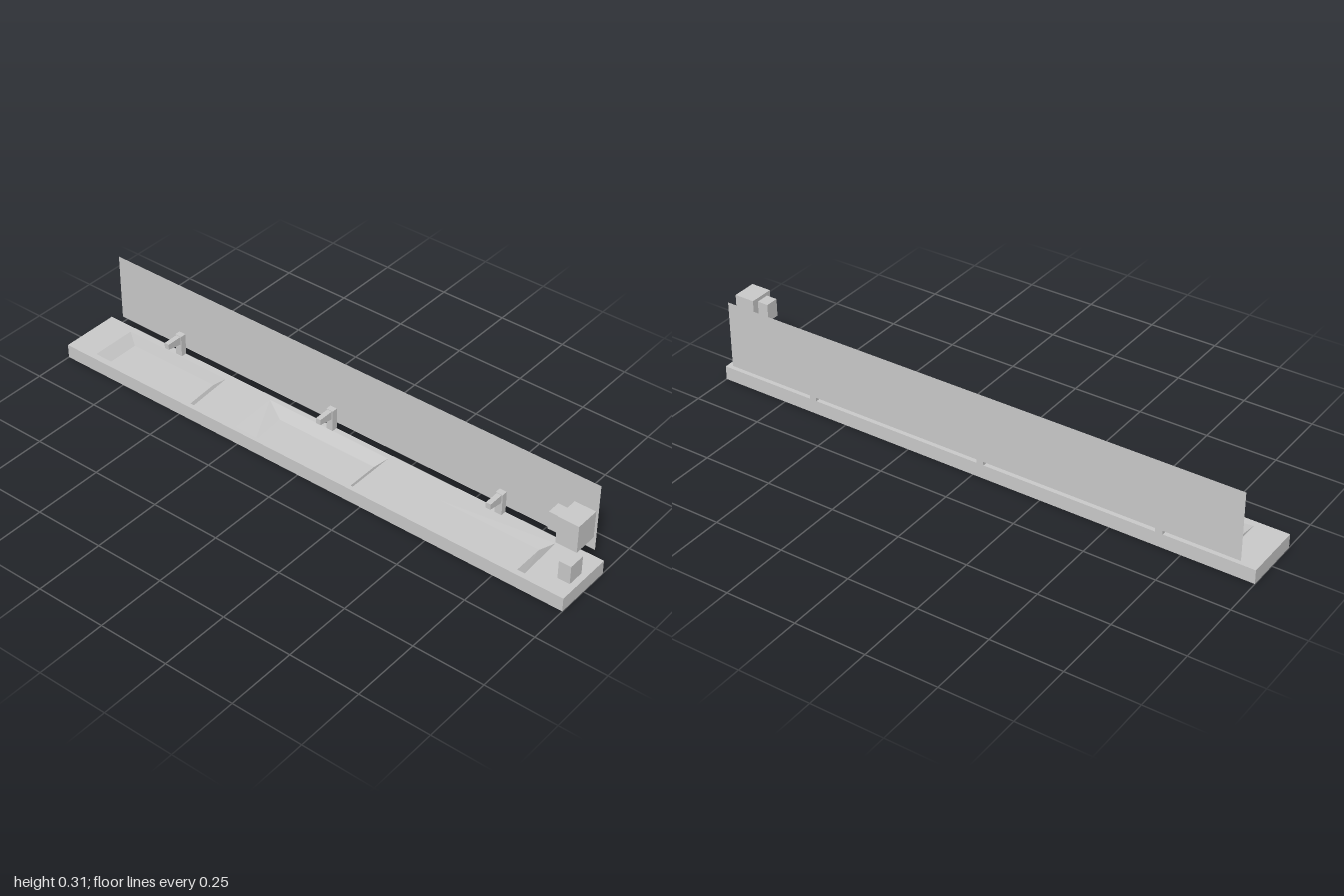
import * as THREE from 'three';

const material = new THREE.MeshStandardMaterial({ color: 0xcccccc, flatShading: true, side: THREE.DoubleSide });

function addMesh(parent, name, geometry, x = 0, y = 0, z = 0) {
  const mesh = new THREE.Mesh(geometry, material);
  mesh.name = name;
  mesh.position.set(x, y, z);
  parent.add(mesh);
  return mesh;
}

// Box given by its limits on each axis
function addBox(parent, name, [x0, x1], [y0, y1], [z0, z1]) {
  return addMesh(parent, name, new THREE.BoxGeometry(x1 - x0, y1 - y0, z1 - z0),
    (x0 + x1) / 2, (y0 + y1) / 2, (z0 + z1) / 2);
}

// Geometry from four-cornered faces
function quadGeometry(quads) {
  const points = quads.flatMap(([a, b, c, d]) => [a, b, c, a, c, d]).flat();
  const geometry = new THREE.BufferGeometry();
  geometry.setAttribute('position', new THREE.Float32BufferAttribute(points, 3));
  geometry.computeVertexNormals();
  return geometry;
}

// Corner loops run counter-clockwise seen from above, starting at the -x, +z corner
const raise = (loop, y) => loop.map(([x, z]) => [x, y, z]);
const loft = (a, b) => a.map((p, i) => [p, a[(i + 1) % 4], b[(i + 1) % 4], b[i]]);

const TOP = 0.05, FLOOR = 0.012;
const slab = [[-0.11, 1], [0.104, 1], [0.104, -1], [-0.11, -1]];
const basins = [
  { rim: [[-0.093, -0.449], [0.08, -0.462], [0.08, -0.89], [-0.087, -0.89]],
    floor: [[-0.077, -0.497], [0.066, -0.507], [0.066, -0.86], [-0.077, -0.86]] },
  { rim: [[-0.094, 0.208], [0.085, 0.208], [0.085, -0.277], [-0.094, -0.269]],
    floor: [[-0.077, 0.171], [0.061, 0.171], [0.061, -0.216], [-0.077, -0.205]] },
  { rim: [[-0.09, 0.85], [0.079, 0.844], [0.077, 0.38], [-0.09, 0.38]],
    floor: [[-0.071, 0.8], [0.061, 0.8], [0.061, 0.43], [-0.071, 0.43]] },
];

export function createModel() {
  const model = new THREE.Group();
  model.name = 'washbasinUnit';

  // Counter: sides and underside, then the top pierced by the basins
  const counter = new THREE.Group();
  counter.name = 'counter';
  model.add(counter);
  const bottom = raise(slab, 0);
  addMesh(counter, 'counterBody', quadGeometry([...loft(bottom, raise(slab, TOP)), [...bottom].reverse()]));
  const flat = loop => loop.map(([x, z]) => new THREE.Vector2(x, -z));
  const topShape = new THREE.Shape(flat(slab));
  for (const { rim } of basins) topShape.holes.push(new THREE.Path(flat(rim)));
  addMesh(counter, 'counterTop', new THREE.ShapeGeometry(topShape).rotateX(-Math.PI / 2), 0, TOP, 0);

  // Basins with sloping walls
  for (const { rim, floor } of basins) {
    const base = raise(floor, FLOOR);
    addMesh(counter, 'basin', quadGeometry([...loft(raise(rim, TOP), base), base]));
  }

  // Taps: upright post and tapering spout
  const spoutShape = new THREE.Shape([[0.027, 0.106], [0.086, 0.095], [0.086, 0.126], [0.027, 0.126]]
    .map(p => new THREE.Vector2(...p)));
  for (const z of [-0.673, -0.028, 0.63]) {
    const tap = new THREE.Group();
    tap.name = 'tap';
    tap.position.z = z;
    model.add(tap);
    addBox(tap, 'tapPost', [0.084, 0.105], [TOP, 0.128], [-0.013, 0.013]);
    addMesh(tap, 'tapSpout', new THREE.ExtrudeGeometry(spoutShape, { depth: 0.018, bevelEnabled: false }), 0, 0, -0.009);
  }

  // Thin mirror along the long side
  const mirror = new THREE.PlaneGeometry(1.915, 0.244).rotateY(-Math.PI / 2);
  addMesh(model, 'mirror', mirror, 0.11, 0.19, 0.005);

  // Dispensers at the end
  addBox(model, 'largeDispenser', [-0.059, 0.029], [0.192, 0.289], [0.926, 1]);
  addBox(model, 'dispenserOutlet', [-0.043, 0.005], [0.212, 0.276], [0.886, 0.926]);
  addBox(model, 'smallDispenser', [-0.082, -0.021], [0.087, 0.153], [0.957, 1]);

  return model;
}
